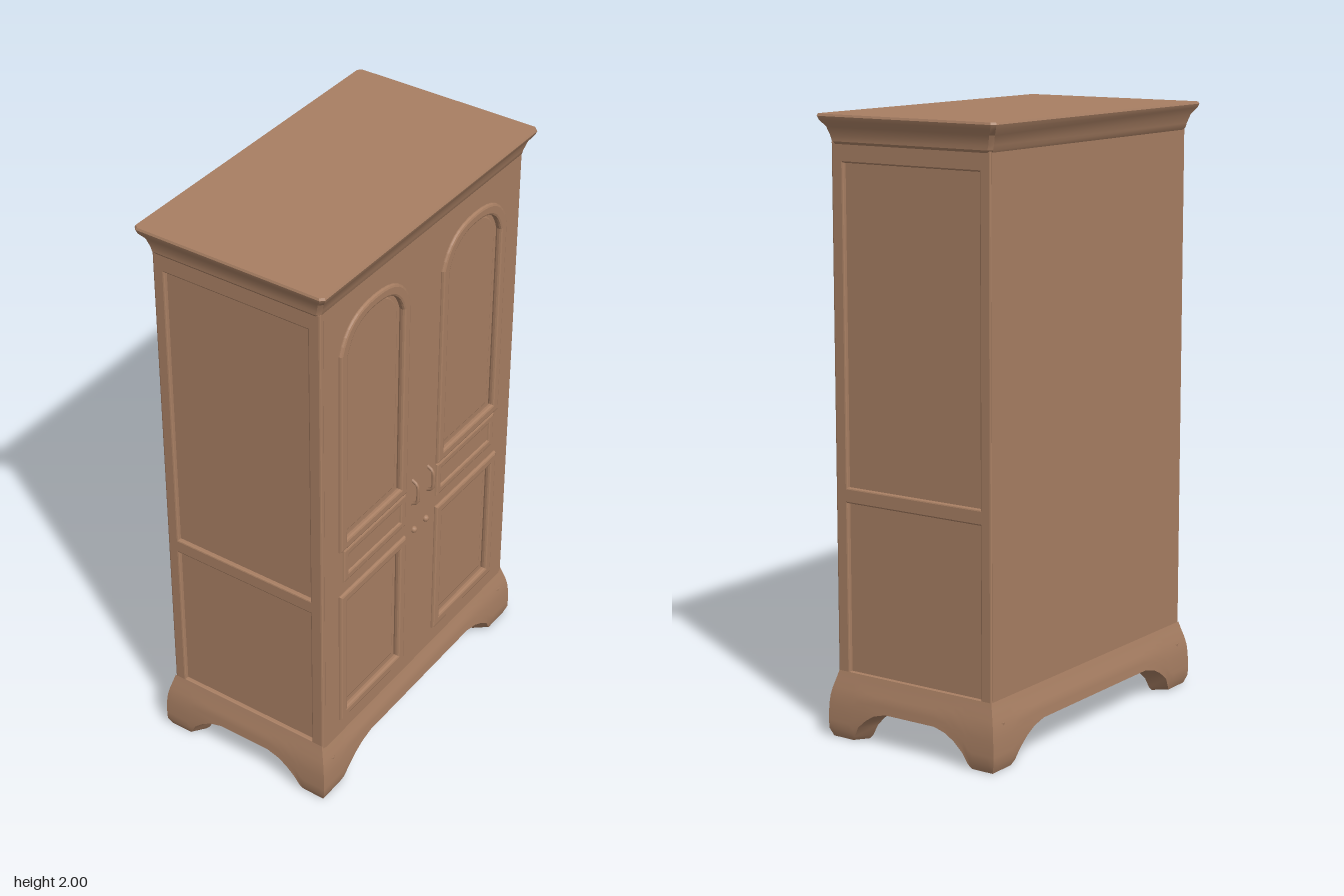
import * as THREE from 'three';
import { toCreasedNormals } from 'three/addons/utils/BufferGeometryUtils.js';

const wood = new THREE.MeshStandardMaterial({ color: 0xa87f63 });
wood.name = 'brown wood';

const HX = 0.3, HZ = 0.55; // half depth and half width of the carcass

function add(parent, name, geometry, x = 0, y = 0, z = 0) {
  const mesh = new THREE.Mesh(geometry, wood);
  mesh.name = name;
  mesh.position.set(x, y, z);
  parent.add(mesh);
  return mesh;
}

function build(positions, index, crease = 0.6) {
  const g = new THREE.BufferGeometry();
  g.setAttribute('position', new THREE.Float32BufferAttribute(positions, 3));
  g.setIndex(index);
  return toCreasedNormals(g, crease);
}

// Stack of chamfered rectangles [y, halfX, halfZ], capped at both ends
function loft(rings, c = 0.012) {
  const pos = [], idx = [];
  for (const [y, a, b] of rings) {
    for (const [x, z] of [[a, b - c], [a, c - b], [a - c, -b], [c - a, -b],
      [-a, c - b], [-a, b - c], [c - a, b], [a - c, b]]) pos.push(x, y, z);
  }
  for (let r = 0; r < rings.length - 1; r++) {
    for (let i = 0; i < 8; i++) {
      const p = r * 8 + i, q = r * 8 + (i + 1) % 8;
      idx.push(p, q, q + 8, p, q + 8, p + 8);
    }
  }
  const top = (rings.length - 1) * 8;
  for (let i = 1; i < 7; i++) {
    idx.push(0, i + 1, i, top, top + i, top + i + 1);
  }
  return build(pos, idx, 0.4);
}

function lerpTable(table, v) {
  for (let i = 1; i < table.length; i++) {
    const [a, fa] = table[i - 1], [b, fb] = table[i];
    if (v <= b) return fa + (fb - fa) * Math.max(0, (v - a) / (b - a));
  }
  return table[table.length - 1][1];
}

// Flared skirt with an arched lower edge on each of the four sides
function skirtGeometry() {
  const flare = [[0, 0.015], [0.03, 0.027], [0.1, 0.026], [0.15, 0.021], [0.19, 0.009], [0.22, 0.001]];
  const arch = [[0, 0], [0.02, 0], [0.075, 0], [0.09, 0.015], [0.11, 0.05], [0.14, 0.08], [0.17, 0.1], [0.21, 0.112]];
  const pos = [], idx = [], rows = 11;
  for (let side = 0; side < 4; side++) {
    const [along, out] = side % 2 ? [HZ, HX] : [HX, HZ];
    const stretch = side % 2 ? 1.25 : 1;
    const cols = arch.map(([d, b]) => [d * stretch / along - 1, b]);
    cols.push(...cols.map(([a, b]) => [-a, b]).reverse());
    const start = pos.length / 3;
    for (const [a, b] of cols) {
      for (let j = 0; j < rows; j++) {
        const outer = j < 9;
        const y = outer ? 0.22 + (b - 0.22) * j / 8 : (j === 9 ? b : 0.15);
        const o = outer ? lerpTable(flare, y) : -0.03;
        let x = a * (along + o), z = out + o;
        for (let k = 0; k < side; k++) [x, z] = [z, -x];
        pos.push(x, y, z);
      }
    }
    for (let i = 0; i < cols.length - 1; i++) {
      for (let j = 0; j < rows - 1; j++) {
        const p = start + i * rows + j, q = p + rows;
        idx.push(p, p + 1, q + 1, p, q + 1, q);
      }
    }
  }
  return build(pos, idx, 0.7);
}

// Outline of a panel; arch > 0 gives a curved head above shoulders
function outline(Type, u0, u1, v0, v1, arch = 0) {
  const s = new Type(), m = (u0 + u1) / 2, w = (u1 - u0) / 2;
  s.moveTo(u0, v0);
  s.lineTo(u1, v0);
  if (arch) {
    s.lineTo(u1, v1 - arch);
    s.bezierCurveTo(u1 - w * 0.15, v1 - arch * 0.3, m + w * 0.55, v1, m, v1);
    s.bezierCurveTo(m - w * 0.55, v1, u0 + w * 0.15, v1 - arch * 0.3, u0, v1 - arch);
  } else {
    s.lineTo(u1, v1);
    s.lineTo(u0, v1);
  }
  s.closePath();
  return s;
}

function extrude(shape, depth, bevel = 0) {
  return new THREE.ExtrudeGeometry(shape, {
    depth, curveSegments: 8, bevelEnabled: bevel > 0, bevelSize: bevel,
    bevelThickness: bevel, bevelOffset: -bevel, bevelSegments: 2,
  });
}

function ring(u0, u1, v0, v1, arch, w) {
  const s = outline(THREE.Shape, u0, u1, v0, v1, arch);
  s.holes.push(outline(THREE.Path, u0 + w, u1 - w, v0 + w, v1 - w, arch * 0.85));
  return s;
}

// Door front, drawn facing +z with its back at z = 0
function doorFront() {
  const front = new THREE.Group();
  front.name = 'doorFront';
  const panels = [[0.09, 0.46, 0.98, 1.84, 0.12], [0.09, 0.46, 0.27, 0.8, 0]];
  const slab = outline(THREE.Shape, -0.535, 0.535, 0.2, 1.915);
  for (const s of [-1, 1]) {
    for (const [a, b, v0, v1, arch] of panels) {
      const [u0, u1] = s > 0 ? [a, b] : [-b, -a];
      slab.holes.push(outline(THREE.Path, u0 + 0.015, u1 - 0.015, v0 + 0.015, v1 - 0.015, arch));
      add(front, 'panelMoulding', extrude(ring(u0, u1, v0, v1, arch, 0.036), 0.008, 0.008), 0, 0, 0.011);
      add(front, 'raisedPanel',
        extrude(outline(THREE.Shape, u0 + 0.045, u1 - 0.045, v0 + 0.045, v1 - 0.045, arch * 0.8), 0.001, 0.005));
    }
    // Narrow drawer-like panel between the two door panels
    const [d0, d1] = s > 0 ? [0.09, 0.44] : [-0.44, -0.09];
    add(front, 'middleMoulding', extrude(ring(d0, d1, 0.845, 0.975, 0, 0.03), 0.004, 0.007), 0, 0, 0.012);
    // Pull handle and key knob
    const pull = new THREE.CatmullRomCurve3([[0.9, 0.01], [0.915, 0.034], [0.95, 0.038], [0.985, 0.034], [1, 0.01]]
      .map(([y, z]) => new THREE.Vector3(s * 0.045, y, z)));
    add(front, 'pullHandle', new THREE.TubeGeometry(pull, 12, 0.006, 6));
    add(front, 'keyKnob', new THREE.SphereGeometry(0.012, 10, 8), s * 0.035, 0.79, 0.018);
  }
  add(front, 'doorFrame', extrude(slab, 0.016));
  return front;
}

export function createModel() {
  const model = new THREE.Group();
  model.name = 'wardrobe';

  // Carcass and crown
  add(model, 'carcass', loft([[0.135, 0.29, 0.535], [1.95, 0.29, 0.535]]));
  add(model, 'cornice', loft([[1.9, 0.295, 0.545], [1.915, 0.306, 0.556], [1.93, 0.31, 0.557],
    [1.96, 0.32, 0.566], [1.98, 0.335, 0.582], [1.993, 0.34, 0.586], [2, 0.337, 0.583]]));
  add(model, 'backPanel', new THREE.BoxGeometry(0.02, 1.72, 1.09), -0.291, 1.06, 0);

  // Framed side walls with a middle rail
  for (const s of [-1, 1]) {
    const frame = outline(THREE.Shape, -HX, HX + 0.004, 0.19, 1.915);
    frame.holes.push(outline(THREE.Path, -0.26, 0.26, 0.22, 0.775));
    frame.holes.push(outline(THREE.Path, -0.26, 0.26, 0.825, 1.85));
    const side = add(model, 'sideFrame', extrude(frame, 0.012, 0.005), 0, 0, s > 0 ? HZ - 0.017 : -HZ + 0.005);
    side.position.z = s > 0 ? HZ - 0.017 : -HZ + 0.005;
  }

  // Doors face +x
  const front = doorFront();
  front.rotation.y = Math.PI / 2;
  front.position.x = 0.289;
  model.add(front);

  // Skirt with solid corner feet
  add(model, 'skirt', skirtGeometry());
  for (const sx of [-1, 1]) {
    for (const sz of [-1, 1]) {
      add(model, 'foot', new THREE.CylinderGeometry(0.055, 0.04, 0.15, 12), sx * 0.267, 0.077, sz * 0.513);
    }
  }
  return model;
}
